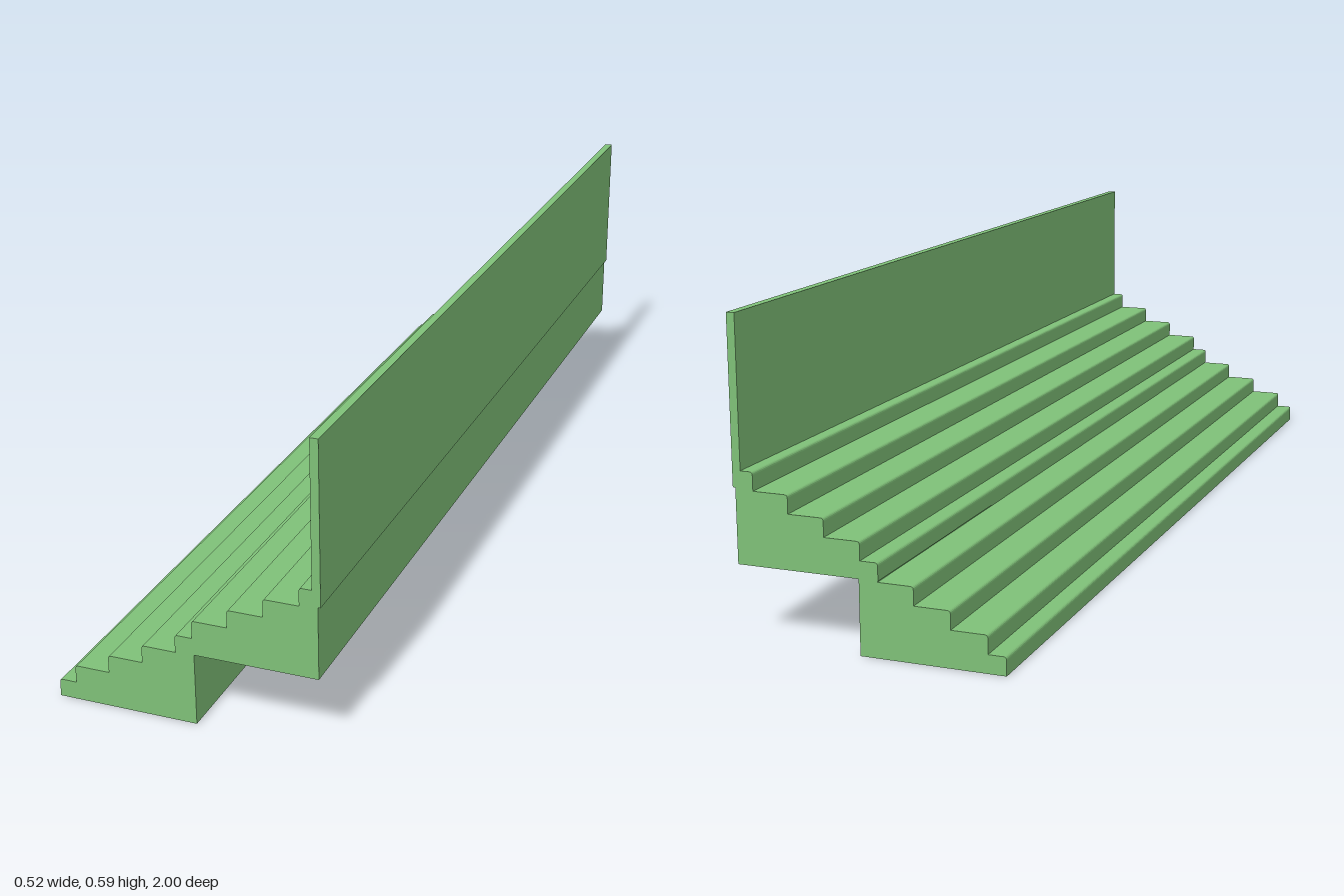
import * as THREE from 'three';

const LENGTH = 2;
const RISE = 0.0348;   // height of one step
const NOSE = 0.006;    // rounding of each step's front edge
const material = new THREE.MeshStandardMaterial({ color: 0x7fc078 });

// Stepped cross-section extruded along z; fronts lists the x of each riser
function stairBlock(name, fronts, back, bottom, firstTop) {
  const shape = new THREE.Shape();
  shape.moveTo(back, bottom);
  const lastTop = firstTop + RISE * (fronts.length - 1);
  shape.lineTo(back, lastTop);
  for (let i = fronts.length - 1; i >= 0; i--) {
    const x = fronts[i];
    const top = firstTop + RISE * i;
    shape.lineTo(x + NOSE, top);
    shape.quadraticCurveTo(x, top, x, top - NOSE);
    shape.lineTo(x, i > 0 ? top - RISE : bottom);
  }
  shape.closePath();
  const geometry = new THREE.ExtrudeGeometry(shape, {
    depth: LENGTH, bevelEnabled: false, curveSegments: 4,
  });
  geometry.translate(0, 0, -LENGTH / 2);
  const mesh = new THREE.Mesh(geometry, material);
  mesh.name = name;
  return mesh;
}

export function createModel() {
  const group = new THREE.Group();
  group.name = 'steppedTerrace';

  // Two identical five-step blocks, the upper one resting on the lower
  const fronts = [-0.26, -0.226, -0.157, -0.088, -0.02];
  const shift = 0.239;
  group.add(stairBlock('lowerSteps', fronts, 0.016, 0, RISE));
  group.add(stairBlock('upperSteps', fronts.map((x) => x + shift), 0.254, 0.141, RISE * 5));

  // Thin wall standing behind the top step
  const wall = new THREE.Mesh(new THREE.BoxGeometry(0.016, 0.313, LENGTH), material);
  wall.name = 'backWall';
  wall.position.set(0.251, 0.4385, 0);
  group.add(wall);

  return group;
}
